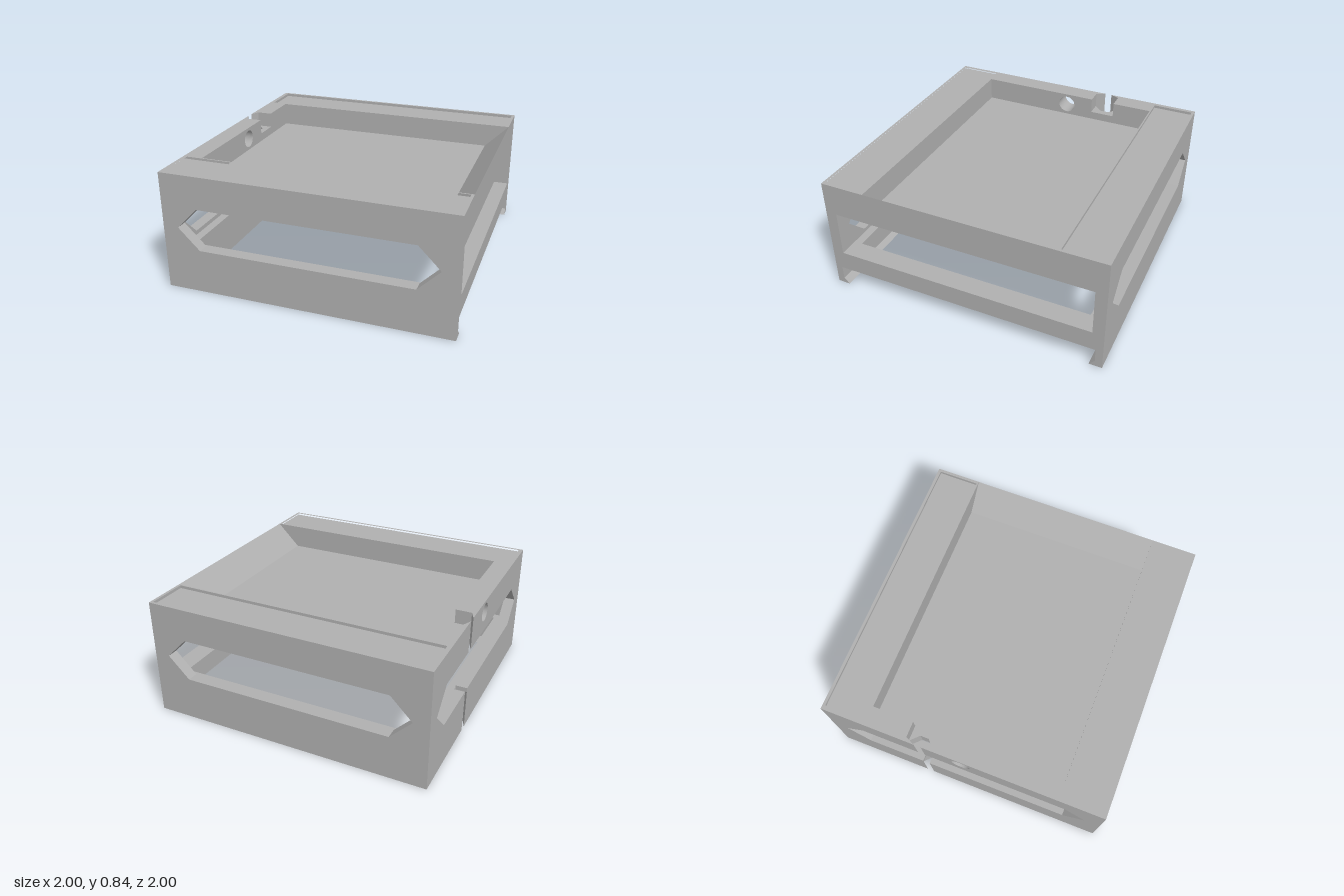
import * as THREE from 'three';

const grey = new THREE.MeshStandardMaterial({ color: 0xb0b0b0 });
grey.name = 'grey plastic';

const toShape = pts => new THREE.Shape(pts.map(p => new THREE.Vector2(p[0], p[1])));
const rect = (x0, z0, x1, z1) => [[x0, z0], [x1, z0], [x1, z1], [x0, z1]];

export function createModel() {
  const model = new THREE.Group();
  model.name = 'stackableTrayModule';

  const add = (name, geometry) => {
    const mesh = new THREE.Mesh(geometry, grey);
    mesh.name = name;
    model.add(mesh);
    return mesh;
  };
  const extrude = (shape, depth) =>
    new THREE.ExtrudeGeometry(shape, { depth, bevelEnabled: false, curveSegments: 24 });

  // Horizontal layer from an (x, z) outline, between heights y0 and y1
  const slab = (name, pts, y0, y1, hole) => {
    const flip = list => list.map(([x, z]) => [x, -z]);
    const shape = toShape(flip(pts));
    if (hole) shape.holes.push(toShape(flip(hole)));
    return add(name, extrude(shape, y1 - y0).rotateX(-Math.PI / 2).translate(0, y0, 0));
  };
  // Upright panel from an (x, y) outline, between z0 and z1
  const panelZ = (name, shape, z0, z1) => add(name, extrude(shape, z1 - z0).translate(0, 0, z0));
  // Upright panel from a (z, y) outline, between x0 and x1
  const panelX = (name, shape, x0, x1) =>
    add(name, extrude(shape, x1 - x0).rotateY(-Math.PI / 2).translate(x1, 0, 0));

  // Vertical keyed channel cut into the right wall
  const c = -0.3;
  const channel = [
    [-1, c - 0.025], [-0.97, c - 0.09], [-0.91, c - 0.03],
    [-0.91, c + 0.03], [-0.97, c + 0.09], [-1, c + 0.025],
  ];
  const outer = [[-1, -1], ...channel, [-1, 1], [1, 1], [1, -1]];

  // Base: slide-in recess open on the left side, with chamfered retaining lips
  slab('baseRail', [
    [-1, -1], ...channel, [-1, 1], [1, 1], [1, 0.95],
    [-0.86, 0.95], [-0.86, -0.95], [1, -0.95], [1, -1],
  ], 0, 0.14);
  for (const s of [-1, 1]) {
    panelX('retainingLip', toShape([[s * 0.95, 0], [s * 0.91, 0], [s * 0.95, 0.04]]), -0.86, 1);
  }

  // Open floor frame and tray floor
  slab('floorFrame', outer, 0.14, 0.28, rect(-0.86, -0.86, 0.86, 0.86));
  slab('trayFloor', outer, 0.61, 0.67);

  // Walls around the long pointed windows
  const windowWall = (w, gap = []) => toShape([
    [-w, 0.28], ...gap, [w, 0.28], [w, 0.61], [0.74, 0.61], [0.89, 0.46], [0.74, 0.31],
    ...gap.slice().reverse().map(([z]) => [z, 0.31]),
    [-0.74, 0.31], [-0.89, 0.46], [-0.74, 0.61], [-w, 0.61],
  ]);
  panelZ('frontWindowWall', windowWall(1), 0.92, 1);
  panelZ('backWindowWall', windowWall(1), -1, -0.92);
  // The right wall is split by the channel below its window
  const g0 = c - 0.025, g1 = c + 0.025;
  panelX('rightWindowWallBack', toShape([
    [-0.92, 0.28], [g0, 0.28], [g0, 0.31], [-0.74, 0.31],
    [-0.89, 0.46], [-0.74, 0.61], [-0.92, 0.61],
  ]), -1, -0.92);
  panelX('rightWindowWallFront', toShape([
    [g1, 0.28], [0.92, 0.28], [0.92, 0.61], [0.74, 0.61],
    [0.89, 0.46], [0.74, 0.31], [g1, 0.31],
  ]), -1, -0.92);

  // Raised side beams with a shallow groove in the top
  for (const s of [-1, 1]) {
    slab('sideBeam', rect(-1, s * 0.68, 1, s), 0.67, 0.82);
    slab('grooveRim', rect(-1, s * 0.68, 1, s), 0.82, 0.84,
      rect(-0.97, s * 0.69, 0.98, s * 0.98));
  }

  // Tray end wall with a round hole
  const endWall = toShape([[-0.15, 0.67], [0.68, 0.67], [0.68, 0.84], [-0.15, 0.84]]);
  endWall.holes.push(new THREE.Path().absarc(0, 0.755, 0.065, 0, Math.PI * 2));
  panelX('trayEndWall', endWall, -1, -0.86);

  // Channel section of the end wall, notched open to the tray at the top
  slab('channelBlock', [
    [-1, -0.68], ...channel, [-1, -0.15], [-0.86, -0.15], [-0.86, -0.68],
  ], 0.67, 0.73);
  for (const [s, end] of [[-1, -0.68], [1, -0.15]]) {
    slab('notchSide', [
      [-1, end], [-1, c + s * 0.025], [-0.97, c + s * 0.09],
      [-0.86, c + s * 0.09], [-0.86, end],
    ], 0.73, 0.84);
  }

  // Sloped left end of the tray
  panelZ('trayRamp', toShape([[0.83, 0.67], [1, 0.67], [1, 0.84]]), -0.68, 0.68);

  return model;
}
